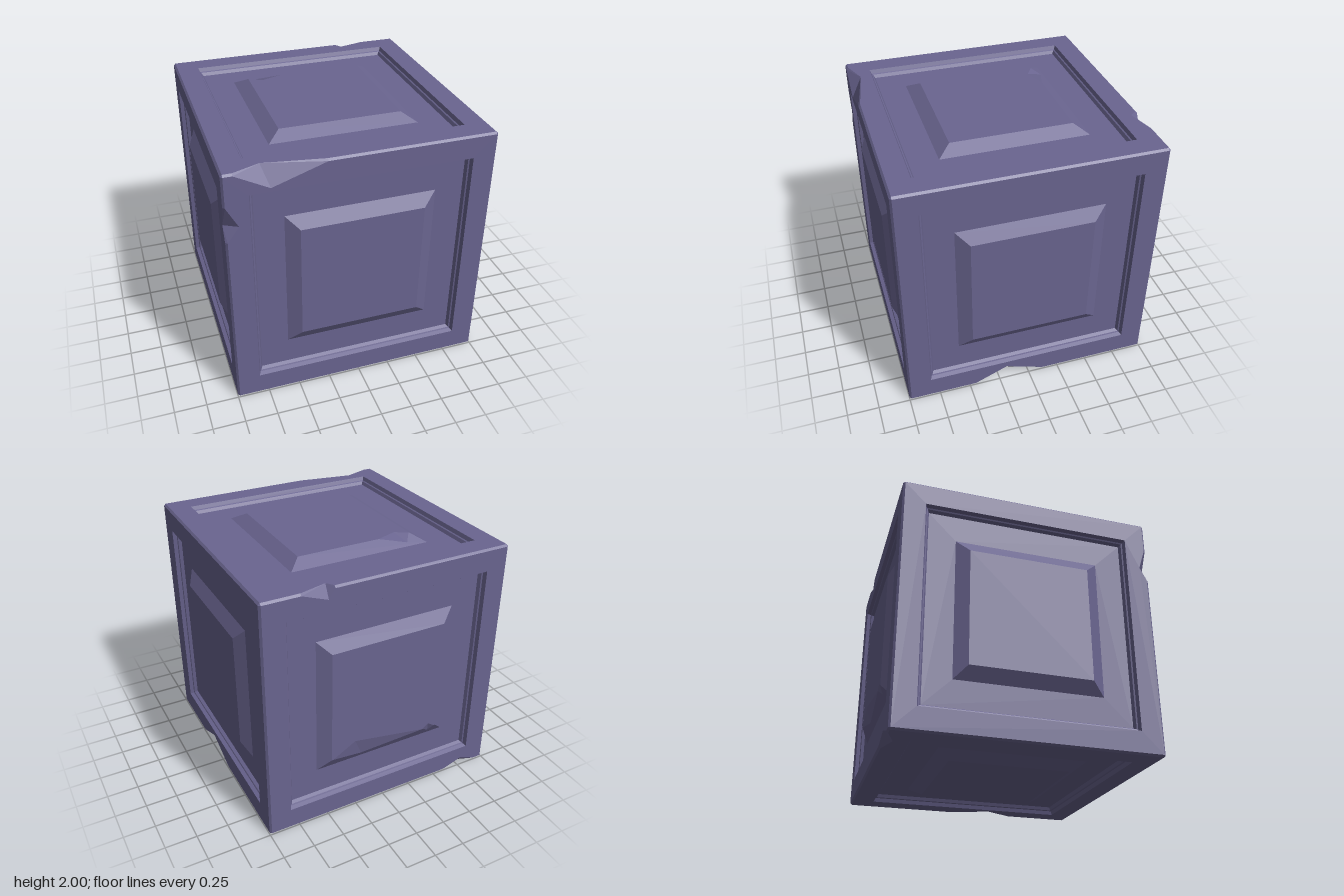
import * as THREE from 'three';

const B = 0.985;                 // half width of a face inside its bevel
const TOP = 0.47, BASE = 0.57, DEPTH = 0.06; // raised boss and panel recess
const STEPS = [[0.82, 0], [0.808, 0.03], [0.798, 0.035], [0.785, DEPTH]];

const X = new THREE.Vector3(1, 0, 0), Y = new THREE.Vector3(0, 1, 0), Z = new THREE.Vector3(0, 0, 1);
const neg = (v) => v.clone().negate();
const NX = neg(X), NY = neg(Y), NZ = neg(Z);
const cross = (a, b) => new THREE.Vector3().crossVectors(a, b);

// Chips: edge between faces n and s, span along n x s, apex [along, across] on each side
const edgeChips = [
  { n: Z, s: Y, span: [0.27, 0.92], f: [0.67, 0.85], g: [0.72, 0.91] },
  { n: Z, s: NX, span: [-0.75, -0.47], f: [-0.59, 0.9], g: [-0.58, 0.93] },
  { n: X, s: NY, span: [-0.45, 0.12], f: [-0.19, 0.87], g: [-0.23, 0.87] },
  { n: NZ, s: Y, span: [0.45, 0.7], f: [0.5, 0.91], g: [0.49, 0.93] },
  { n: NZ, s: NY, span: [0.6, 0.92], f: [0.77, 0.93], g: [0.77, 0.93] },
];
// Each edge chip as seen from both of its faces
const frameNotches = edgeChips.flatMap((c) => [c, {
  n: c.s, s: c.n, span: [-c.span[1], -c.span[0]], f: [-c.g[0], c.g[1]],
}]);
const bossChips = [
  { n: Y, s: NZ, span: [0.2, 0.465], f: [0.37, 0.41], g: [0.41, 0.54] },
  { n: NZ, s: NY, span: [-0.46, 0.35], f: [-0.27, 0.36], g: [-0.2, 0.52] },
  { n: NZ, s: NY, span: [0.35, 0.46], f: [0.4, 0.43], g: [0.42, 0.52] },
];
const chipsOn = (list, n, s) => list.filter((c) => c.n.equals(n) && c.s.equals(s));

// Point at height h along n, q towards side s, t along the edge
const point = (n, s, t, q, h = 1) =>
  n.clone().multiplyScalar(h).addScaledVector(s, q).addScaledVector(cross(n, s), t);

// Collects flat polygons, each turned to face the direction "out"
class Facets {
  constructor() { this.data = []; }
  tri(a, b, c, out) {
    const normal = cross(b.clone().sub(a), c.clone().sub(a));
    for (const p of normal.dot(out) < 0 ? [a, c, b] : [a, b, c]) this.data.push(p.x, p.y, p.z);
  }
  quad(a, b, c, d, out) {
    this.tri(a, b, c, out);
    this.tri(a, c, d, out);
  }
  poly(outline, hole, right, up, out) {
    const flat = (list) => list.map((p) => new THREE.Vector2(p.dot(right), p.dot(up)));
    const all = [...outline, ...hole];
    const faces = THREE.ShapeUtils.triangulateShape(flat(outline), hole.length ? [flat(hole)] : []);
    for (const [a, b, c] of faces) this.tri(all[a], all[b], all[c], out);
  }
  mesh(name, material) {
    const geometry = new THREE.BufferGeometry();
    geometry.setAttribute('position', new THREE.Float32BufferAttribute(this.data, 3));
    geometry.computeVertexNormals();
    const mesh = new THREE.Mesh(geometry, material);
    mesh.name = name;
    return mesh;
  }
}

const square = (n, sides, half, depth) => sides.map((s) => point(n, s, -half, half, 1 - depth));

// Square outline notched by the chips on its sides
const notched = (n, sides, half, list) => sides.flatMap((s) => [
  point(n, s, -half, half),
  ...chipsOn(list, n, s).flatMap((c) => [
    point(n, s, c.span[0], half), point(n, s, ...c.f), point(n, s, c.span[1], half)]),
]);

function makeFace(name, n, right, stone) {
  const up = cross(n, right);
  const sides = [right, up, neg(right), neg(up)];
  const face = new THREE.Group();
  face.name = name;

  // Flat border
  const frame = new Facets();
  frame.poly(notched(n, sides, B, frameNotches), square(n, sides, STEPS[0][0], 0), right, up, n);
  face.add(frame.mesh('frame', stone));

  // Stepped moulding down to the panel
  const moulding = new Facets();
  for (let i = 0; i < STEPS.length - 1; i++) {
    const [[w0, d0], [w1, d1]] = [STEPS[i], STEPS[i + 1]];
    for (const s of sides) {
      moulding.quad(point(n, s, -w0, w0, 1 - d0), point(n, s, w0, w0, 1 - d0),
        point(n, s, w1, w1, 1 - d1), point(n, s, -w1, w1, 1 - d1), n);
    }
  }
  face.add(moulding.mesh('moulding', stone));

  // Recessed panel
  const panel = new Facets();
  panel.poly(square(n, sides, STEPS[3][0], DEPTH), square(n, sides, BASE, DEPTH), right, up, n);
  face.add(panel.mesh('panel', stone));

  // Raised boss with sloping sides and its chips
  const boss = new Facets();
  boss.poly(notched(n, sides, TOP, bossChips), [], right, up, n);
  for (const s of sides) {
    const onSlope = (t, q) => point(n, s, t, q, 1 - DEPTH * (q - TOP) / (BASE - TOP));
    const outline = [onSlope(BASE, BASE), onSlope(-BASE, BASE), onSlope(-TOP, TOP)];
    for (const c of chipsOn(bossChips, n, s)) {
      const [a, b] = c.span.map((t) => point(n, s, t, TOP));
      const f = point(n, s, ...c.f), g = onSlope(...c.g);
      outline.push(a, g, b);
      boss.tri(a, f, g, n);
      boss.tri(b, f, g, n);
    }
    outline.push(onSlope(TOP, TOP));
    boss.poly(outline, [], cross(n, s), s, n);
  }
  face.add(boss.mesh('boss', stone));
  return face;
}

// Bevelled edges, interrupted by chips
function makeEdges(stone) {
  const bevel = new Facets(), chipped = new Facets();
  const pairs = [[Z, Y], [Z, NY], [Z, X], [Z, NX], [NZ, Y], [NZ, NY], [NZ, X], [NZ, NX],
    [X, Y], [X, NY], [NX, Y], [NX, NY]];
  for (const [n, s] of pairs) {
    const out = n.clone().add(s);
    const near = (t) => point(n, s, t, B), far = (t) => point(n, s, t, 1, B);
    let start = -B;
    const strip = (end) => bevel.quad(near(start), near(end), far(end), far(start), out);
    for (const c of chipsOn(edgeChips, n, s)) {
      strip(c.span[0]);
      start = c.span[1];
      const f = point(n, s, ...c.f), g = point(n, s, c.g[0], 1, c.g[1]);
      for (const t of c.span) chipped.quad(near(t), f, g, far(t), out);
    }
    strip(B);
  }
  // Corner triangles
  for (const x of [-1, 1]) for (const y of [-1, 1]) for (const z of [-1, 1]) {
    const v = (a, b, c) => new THREE.Vector3(x * a, y * b, z * c);
    bevel.tri(v(1, B, B), v(B, 1, B), v(B, B, 1), v(1, 1, 1));
  }
  return [bevel.mesh('bevelledEdges', stone), chipped.mesh('edgeChips', stone)];
}

export function createModel() {
  const stone = new THREE.MeshStandardMaterial({ color: 0x6a6590 });
  stone.name = 'purple stone';
  const block = new THREE.Group();
  block.name = 'stoneBlock';
  block.add(
    makeFace('frontFace', Z, X, stone), makeFace('backFace', NZ, NX, stone),
    makeFace('leftFace', X, NZ, stone), makeFace('rightFace', NX, Z, stone),
    makeFace('topFace', Y, X, stone), makeFace('bottomFace', NY, X, stone),
    ...makeEdges(stone),
  );
  block.position.y = 1;
  const model = new THREE.Group();
  model.name = 'chippedStoneBlock';
  model.add(block);
  return model;
}
